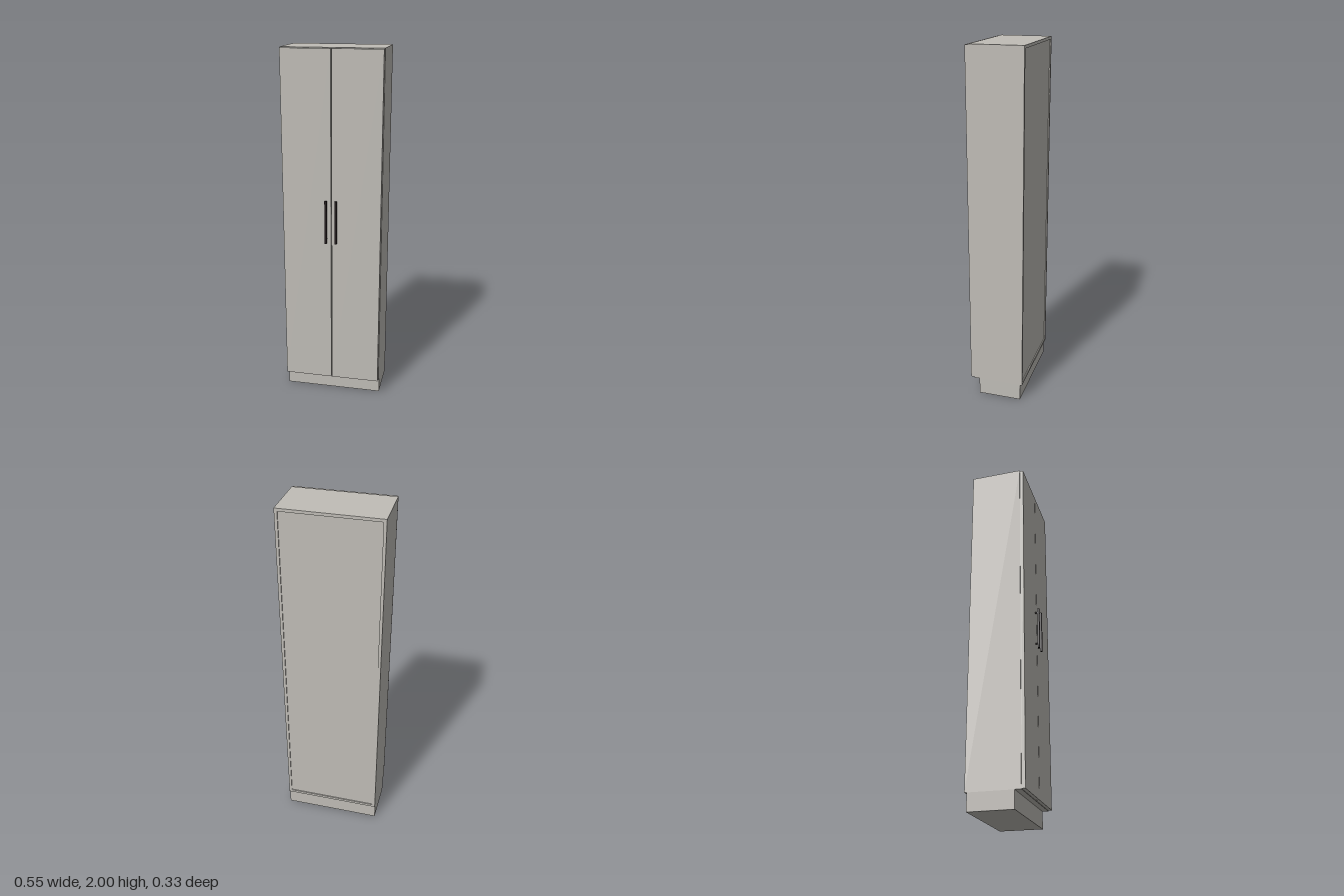
import * as THREE from 'three';

const cabinetPaint = new THREE.MeshStandardMaterial({ name: 'warm grey paint', color: 0xc0bdb7 });
const handleMetal = new THREE.MeshStandardMaterial({ name: 'dark handle metal', color: 0x231a1c });

// Box given by its min and max corners
function box(name, material, [x0, y0, z0], [x1, y1, z1]) {
  const mesh = new THREE.Mesh(new THREE.BoxGeometry(x1 - x0, y1 - y0, z1 - z0), material);
  mesh.position.set((x0 + x1) / 2, (y0 + y1) / 2, (z0 + z1) / 2);
  mesh.name = name;
  return mesh;
}

export function createModel() {
  const model = new THREE.Group();
  model.name = 'tallCabinet';

  const W = 0.277, T = 0.016;           // half width, board thickness
  const BOTTOM = 0.095, TOP = 2;
  const BACK = -0.167, FRONT = 0.123, DOOR_FRONT = 0.143;

  // Plinth, set back from the doors and the rear
  model.add(box('plinth', cabinetPaint, [-W, 0, -0.155], [W, BOTTOM, 0.09]));

  // Carcass boards, with the back panel let in between them
  model.add(
    box('topPanel', cabinetPaint, [-W + T, TOP - T, BACK], [W - T, TOP, FRONT]),
    box('bottomPanel', cabinetPaint, [-W + T, BOTTOM, BACK], [W - T, BOTTOM + T, FRONT]),
    box('backPanel', cabinetPaint, [-W + T, BOTTOM + T, BACK + 0.006], [W - T, TOP - T, BACK + 0.014])
  );

  for (const side of [1, -1]) {
    const label = side > 0 ? 'left' : 'right';
    const span = (a, b) => (side > 0 ? [a, b] : [-b, -a]);

    const [s0, s1] = span(W - T, W);
    model.add(box(label + 'SidePanel', cabinetPaint, [s0, BOTTOM, BACK], [s1, TOP, FRONT]));

    // Door, with a narrow gap at the middle and the edges
    const [d0, d1] = span(0.002, 0.274);
    model.add(box(label + 'Door', cabinetPaint, [d0, 0.098, FRONT], [d1, 1.996, DOOR_FRONT]));

    // Bar handle on two round posts
    const handle = new THREE.Group();
    handle.name = label + 'Handle';
    const [h0, h1] = span(0.022, 0.034);
    handle.add(box('handleBar', handleMetal, [h0, 0.945, 0.156], [h1, 1.19, 0.167]));
    for (const y of [0.97, 1.165]) {
      const post = new THREE.Mesh(new THREE.CylinderGeometry(0.005, 0.005, 0.014, 16), handleMetal);
      post.name = 'handlePost';
      post.rotation.x = Math.PI / 2;
      post.position.set(side * 0.028, y, 0.15);
      handle.add(post);
    }
    model.add(handle);
  }

  return model;
}
